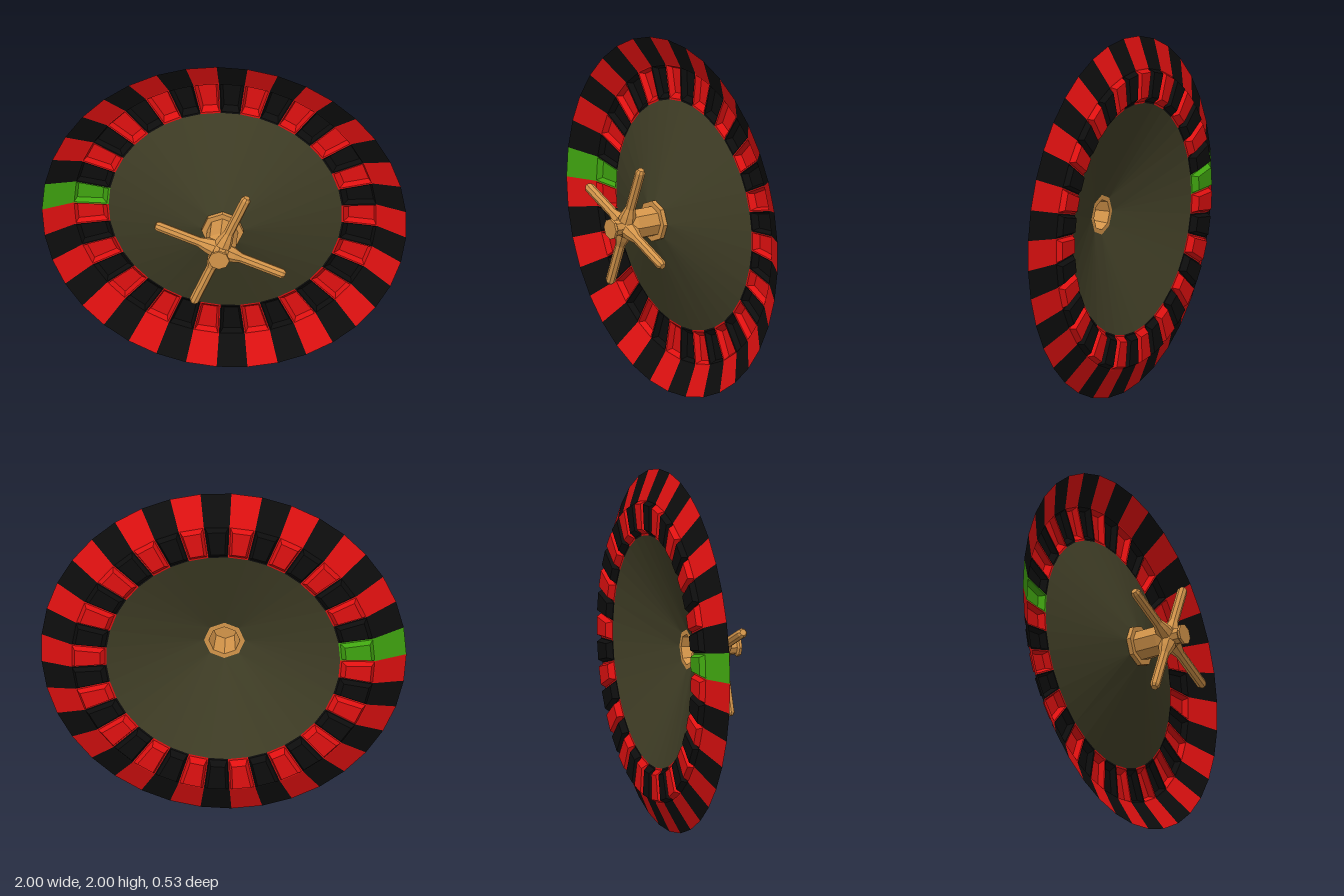
import * as THREE from 'three';

const SECTORS = 37;
const STEP = (Math.PI * 2) / SECTORS;

function mat(name, color) {
  const m = new THREE.MeshStandardMaterial({ color, flatShading: true, side: THREE.DoubleSide });
  m.name = name;
  return m;
}

// Flat-shaded geometry from a list of four-cornered faces
function quads(list) {
  const pos = [];
  for (const [a, b, c, d] of list) {
    for (const tri of [[a, b, c], [a, c, d]]) {
      const [p, q, r] = tri;
      if (p !== q && q !== r && r !== p) tri.forEach((v) => pos.push(...v));
    }
  }
  const g = new THREE.BufferGeometry();
  g.setAttribute('position', new THREE.Float32BufferAttribute(pos, 3));
  g.computeVertexNormals();
  return g;
}

// Four corners of a ring slice around +x, pulled in sideways by `inset`
function slice(r0, r1, z, inset) {
  const c = Math.cos(STEP / 2), s = Math.sin(STEP / 2);
  return [
    [r0 * c, -(r0 * s - inset), z], [r1 * c, -(r1 * s - inset), z],
    [r1 * c, r1 * s - inset, z], [r0 * c, r0 * s - inset, z],
  ];
}

// One number slot: sloped rim, narrow frame, tapered recess and floor
function slotGeometry() {
  const rim = slice(0.836, 1, -0.153, 0);
  const loops = [
    slice(0.64, 0.836, -0.232, 0),
    slice(0.65, 0.83, -0.233, 0.006),
    slice(0.676, 0.815, -0.263, 0.019),
  ];
  const faces = [[loops[0][1], rim[1], rim[2], loops[0][2]]];
  for (let k = 0; k < 2; k++) {
    for (let i = 0; i < 4; i++) {
      const j = (i + 1) % 4;
      faces.push([loops[k][i], loops[k][j], loops[k + 1][j], loops[k + 1][i]]);
    }
  }
  faces.push(loops[2]);
  return quads(faces);
}

// Shallow cone joining the slot ring to the octagonal flange
function coneGeometry() {
  const inner = [];
  for (let k = 0; k < 8; k++) {
    const a = (k * Math.PI) / 4;
    inner.push([0.112 * Math.cos(a), 0.112 * Math.sin(a), -0.04]);
  }
  const outer = [];
  for (let i = 0; i < SECTORS; i++) {
    const a = Math.PI + i * STEP;
    outer.push([0.64 * Math.cos(a), 0.64 * Math.sin(a), -0.232]);
  }
  const near = (i) => inner[Math.round((Math.PI + i * STEP) / (Math.PI / 4)) % 8];
  return quads(outer.map((p, i) => [p, outer[(i + 1) % SECTORS], near(i + 1), near(i)]));
}

function lathe(points, sides) {
  return new THREE.LatheGeometry(points.map(([r, y]) => new THREE.Vector2(r, y)), sides);
}

export function createModel() {
  const model = new THREE.Group();
  model.name = 'wheel';
  const red = mat('red', 0xe01010);
  const black = mat('black', 0x0d0d0d);
  const green = mat('green', 0x40a510);
  const olive = mat('olive', 0x403e26);
  const brass = mat('brass', 0xd4954a);

  const add = (name, geometry, material, parent = model) => {
    const mesh = new THREE.Mesh(geometry, material);
    mesh.name = name;
    parent.add(mesh);
    return mesh;
  };

  // Ring of slots: one green, then alternating red and black
  const ring = new THREE.Group();
  ring.name = 'slotRing';
  model.add(ring);
  const slot = slotGeometry();
  for (let i = 0; i < SECTORS; i++) {
    const m = i === 0 ? green : i % 2 ? red : black;
    add('slot' + i, slot, m, ring).rotation.z = Math.PI + (i - 0.5) * STEP;
  }

  add('centreCone', coneGeometry(), olive);

  // Spindle, hollow at the back, with flange, post, hub and knob
  const spindle = lathe([
    [0.085, -0.04], [0.115, -0.04], [0.115, -0.015], [0.085, -0.015], [0.085, 0.12],
    [0.078, 0.14], [0.055, 0.185], [0.045, 0.2], [0.045, 0.24], [0.058, 0.25],
    [0.058, 0.264], [0, 0.264],
  ], 8);
  add('spindle', spindle, brass).rotation.x = Math.PI / 2;
  const socket = lathe([[0.085, -0.04], [0.07, 0.1], [0, 0.1]], 8);
  add('spindleSocket', socket, brass).rotation.x = Math.PI / 2;

  // Four handle arms flaring into the hub
  const arm = lathe([
    [0.05, 0.04], [0.042, 0.08], [0.028, 0.125], [0.028, 0.368], [0.018, 0.384], [0, 0.384],
  ], 8);
  const handle = new THREE.Group();
  handle.name = 'handle';
  handle.position.z = 0.16;
  model.add(handle);
  for (let k = 0; k < 4; k++) {
    add('handleArm' + k, arm, brass, handle).rotation.z = -Math.PI / 8 + (k * Math.PI) / 2;
  }

  model.children.forEach((part) => { part.position.y = 1; });
  return model;
}
